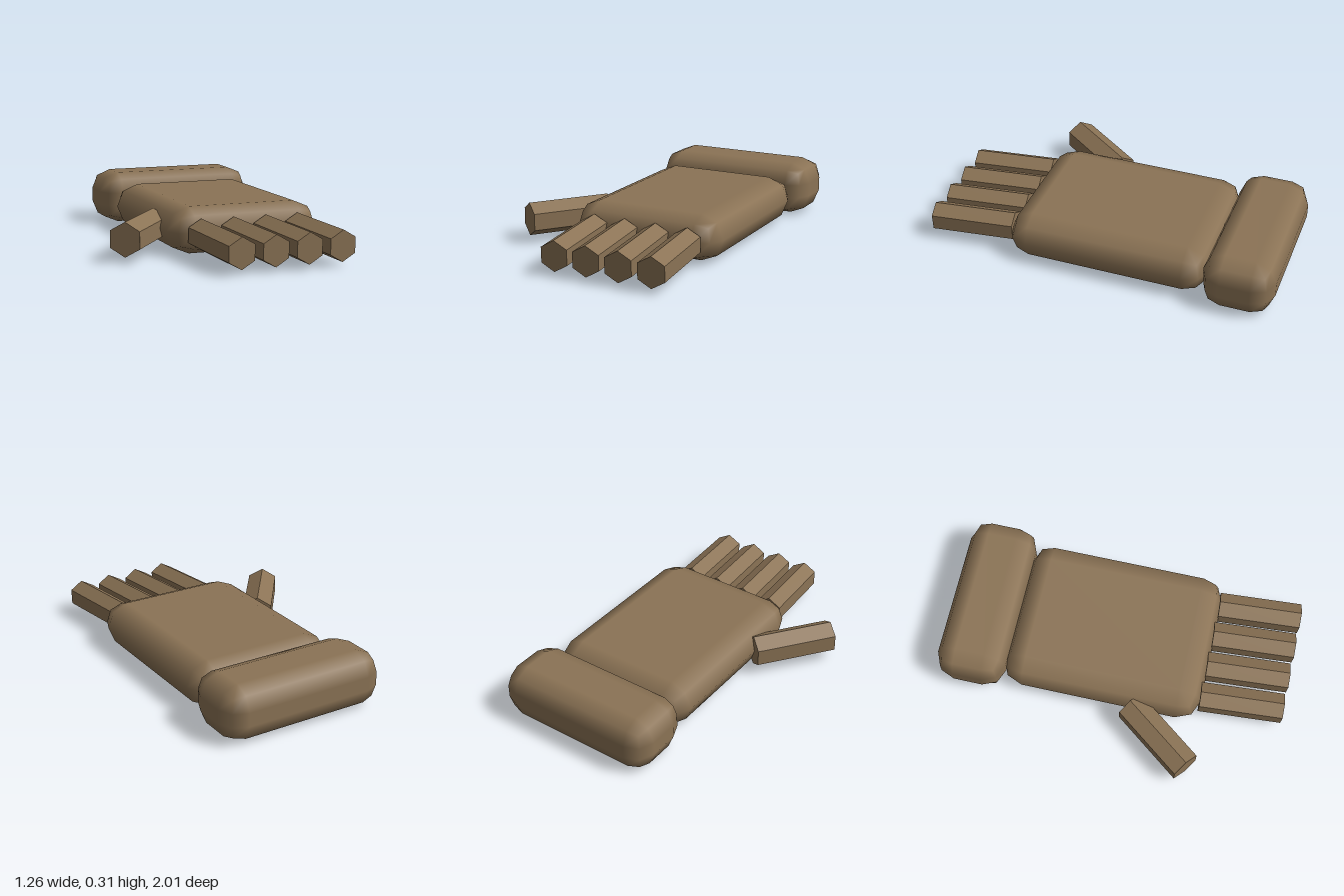
import * as THREE from 'three';
import { RoundedBoxGeometry } from 'three/addons/geometries/RoundedBoxGeometry.js';

export function createModel() {
  const group = new THREE.Group();
  const skin = new THREE.MeshStandardMaterial({ color: 0x8b7355 });
  skin.name = 'brown';

  // Soft block filling the given bounds; a one-step rounding falls short of its nominal size
  const block = (name, min, max, radius) => {
    const gap = 2 * radius * (1 - 3 / Math.sqrt(11));
    const size = min.map((v, i) => max[i] - v + gap);
    const mesh = new THREE.Mesh(new RoundedBoxGeometry(...size, 1, radius), skin);
    mesh.name = name;
    mesh.position.set(...min.map((v, i) => (v + max[i]) / 2));
    group.add(mesh);
  };

  // Six-sided rod from one point to another, with a ridge on top
  const rod = (name, from, to, radius) => {
    const a = new THREE.Vector3(...from);
    const b = new THREE.Vector3(...to);
    let geometry = new THREE.CylinderGeometry(radius, radius, a.distanceTo(b), 6);
    geometry.rotateX(Math.PI / 2);
    // Crisp facets
    geometry = geometry.toNonIndexed();
    geometry.computeVertexNormals();
    const mesh = new THREE.Mesh(geometry, skin);
    mesh.name = name;
    mesh.position.copy(a).add(b).multiplyScalar(0.5);
    mesh.lookAt(b);
    group.add(mesh);
  };

  // Wrist cuff and palm
  block('cuff', [-0.323, 0, -1], [0.625, 0.287, -0.623], 0.116);
  block('palm', [-0.277, 0.004, -0.62], [0.577, 0.24, 0.513], 0.13);

  // Four parallel fingers, slightly splayed and drooping
  for (let i = 0; i < 4; i++) {
    const x = -0.095 + i * 0.189;
    rod('finger' + (i + 1), [x - 0.039, 0.117, 0.514], [x, 0.1, 0.991], 0.086);
  }

  // Thumb, level and angled outward
  rod('thumb', [-0.275, 0.115, 0.135], [-0.561, 0.115, 0.515], 0.095);

  return group;
}
